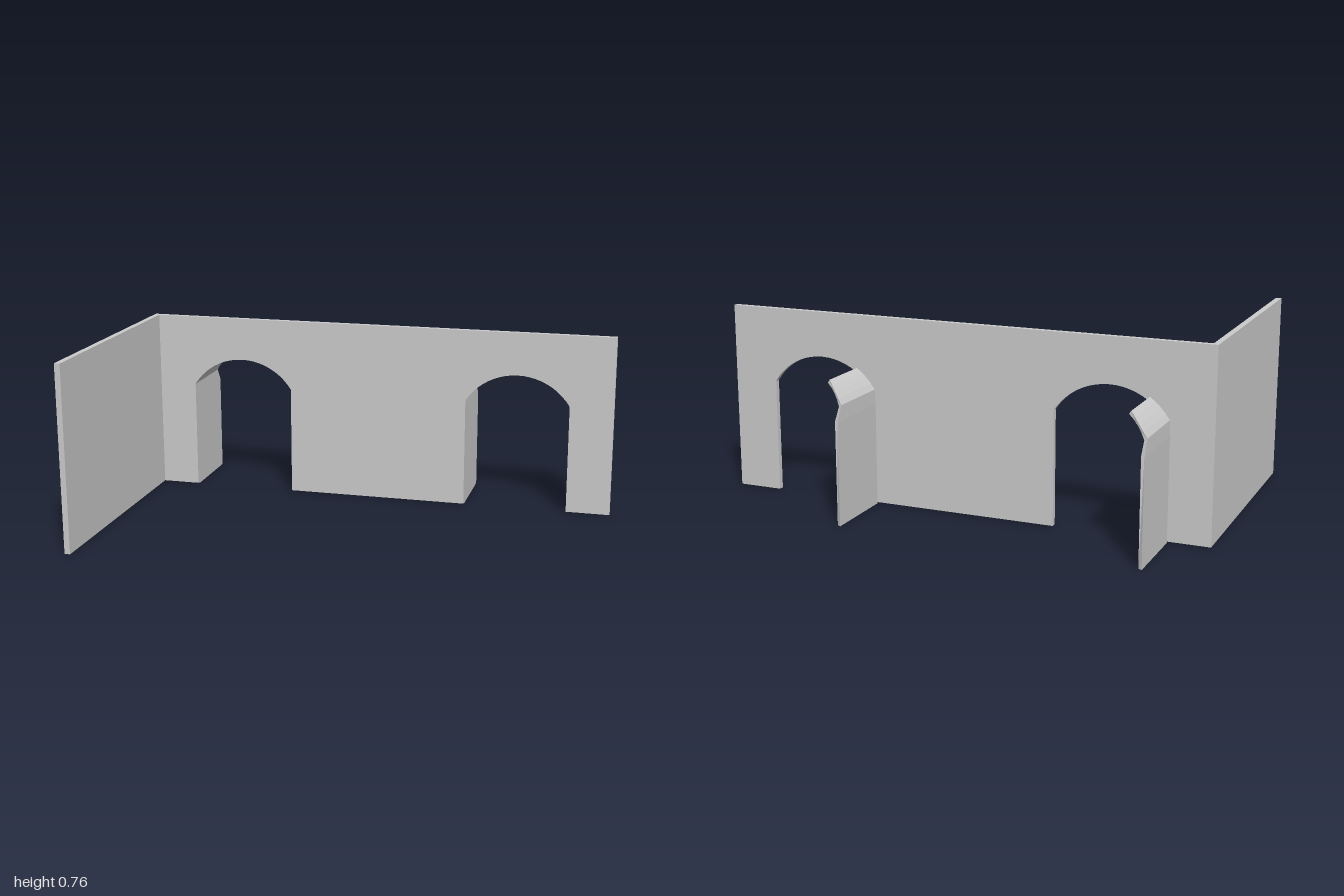
import * as THREE from 'three';

const BACK = -0.354, FRONT = -0.332, BASE = 0.005, TOP = 0.76;
const HALF = 0.218, SPRING = 0.46, CROWN = 0.58;
const RISE = CROWN - SPRING;
const R = (HALF * HALF + RISE * RISE) / (2 * RISE);
const CY = CROWN - R;
const SPREAD = Math.asin(HALF / R);
const CENTRES = [-0.6, 0.6];

const material = new THREE.MeshStandardMaterial({ color: 0xcccccc, flatShading: true });

// Point on the arch; the angle is measured from the crown, positive toward +x
const arcPoint = (cx, angle, r = R) =>
  new THREE.Vector2(cx + r * Math.sin(angle), CY + r * Math.cos(angle));

function makeMesh(name, geometry) {
  const mesh = new THREE.Mesh(geometry, material);
  mesh.name = name;
  return mesh;
}

// Long wall with two arched doorways open at the floor
function archedWall() {
  const pts = [new THREE.Vector2(-1, BASE)];
  for (const cx of CENTRES) {
    pts.push(new THREE.Vector2(cx - HALF, BASE));
    for (let i = 0; i <= 20; i++) pts.push(arcPoint(cx, SPREAD * (i / 10 - 1)));
    pts.push(new THREE.Vector2(cx + HALF, BASE));
  }
  pts.push(new THREE.Vector2(1, BASE), new THREE.Vector2(1, TOP), new THREE.Vector2(-1, TOP));
  const geometry = new THREE.ExtrudeGeometry(new THREE.Shape(pts), { depth: FRONT - BACK, bevelEnabled: false });
  geometry.translate(0, 0, BACK);
  return makeMesh('archedWall', geometry);
}

// Thin jamb behind one doorway, curling over along the arch, its rear corner cut off
function jambPanel(cx) {
  const T = 0.015, CUT = 0.41, REAR = -0.662, STEPS = 4;
  const endAngle = -Math.asin(0.145 / R);
  const inner = [new THREE.Vector2(cx - HALF, 0), new THREE.Vector2(cx - HALF, CUT)];
  const outer = [new THREE.Vector2(cx - HALF - T, 0), new THREE.Vector2(cx - HALF - T, CUT)];
  for (let i = 0; i <= STEPS; i++) {
    const a = THREE.MathUtils.lerp(-SPREAD, endAngle, i / STEPS);
    inner.push(arcPoint(cx, a));
    outer.push(arcPoint(cx, a, R + T));
  }
  const shape = new THREE.Shape([...inner, ...outer.reverse()]);
  const geometry = new THREE.ExtrudeGeometry(shape, { depth: 1, bevelEnabled: false });
  const pos = geometry.attributes.position;
  for (let i = 0; i < pos.count; i++) {
    if (pos.getZ(i) > 0.5) { pos.setZ(i, BACK); continue; }
    // Rear end: mitred toward the doorway and sloped forward above the cut
    const x = pos.getX(i), y = pos.getY(i);
    const isInner = inner.some(p => Math.hypot(p.x - x, p.y - y) < 1e-4);
    pos.setZ(i, REAR + Math.max(0, y - CUT) * 0.66 + (isInner ? 0.009 : 0));
  }
  geometry.computeVertexNormals();
  return makeMesh('jambPanel', geometry);
}

// Plain wall running forward from the right end
function sideWall() {
  const depth = 0.662 - FRONT;
  const geometry = new THREE.BoxGeometry(0.023, TOP - BASE, depth);
  geometry.translate(-1 + 0.0115, (TOP + BASE) / 2, FRONT + depth / 2);
  return makeMesh('sideWall', geometry);
}

export function createModel() {
  const group = new THREE.Group();
  group.name = 'archedWallCorner';
  group.add(archedWall(), sideWall(), ...CENTRES.map(jambPanel));
  return group;
}
